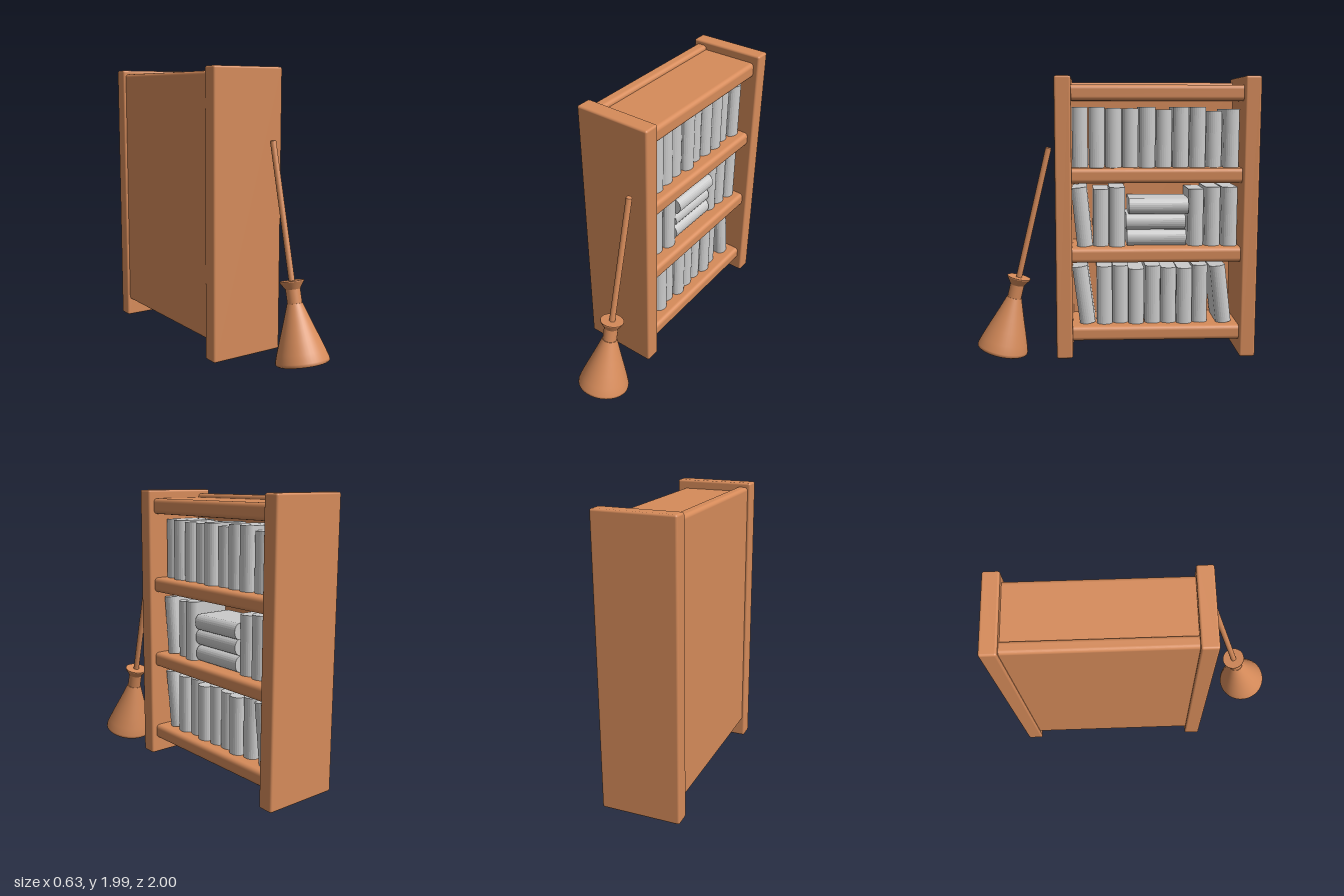
import * as THREE from 'three';
import { RoundedBoxGeometry } from 'three/addons/geometries/RoundedBoxGeometry.js';

const wood = new THREE.MeshStandardMaterial({ color: 0xd68b5a });
const grey = new THREE.MeshStandardMaterial({ color: 0xcccccc });

// Rounded wooden board given by its min and max corners
function board(name, min, max, radius) {
  const size = max.map((v, i) => v - min[i]);
  const mesh = new THREE.Mesh(new RoundedBoxGeometry(...size, 3, radius), wood);
  mesh.position.set(...max.map((v, i) => (v + min[i]) / 2));
  mesh.name = name;
  return mesh;
}

// Book block with a rounded spine facing +x, centred on y and z
const BOOK = { width: 0.112, height: 0.425, depth: 0.27, bulge: 0.035 };
function bookGeometry() {
  const w = BOOK.width / 2, s = new THREE.Shape();
  s.moveTo(-BOOK.depth, -w);
  s.lineTo(0, -w);
  s.bezierCurveTo(BOOK.bulge * 1.33, -w * 0.7, BOOK.bulge * 1.33, w * 0.7, 0, w);
  s.lineTo(-BOOK.depth, w);
  s.closePath();
  const geo = new THREE.ExtrudeGeometry(s, { depth: BOOK.height, bevelEnabled: false, curveSegments: 10 });
  geo.translate(0, 0, -BOOK.height / 2);
  geo.rotateX(-Math.PI / 2);
  return geo;
}

// Small repeatable offset so the spines are not perfectly aligned
const stagger = (i) => 0.09 + 0.015 * Math.sin(i * 2.4);

function createBooks() {
  const group = new THREE.Group();
  group.name = 'books';
  const geo = bookGeometry();
  let count = 0;
  const add = (name, y, z, tilt) => {
    const book = new THREE.Mesh(geo, grey);
    book.name = name;
    book.position.set(stagger(count++), y, z);
    book.rotation.x = tilt;
    group.add(book);
    return book;
  };
  // Each entry: centre z, top y, lean
  const rows = [
    [[0.23, 0.66, 0.13], [0.08, 0.655, 0], [-0.035, 0.655, 0], [-0.15, 0.635, 0], [-0.27, 0.655, 0],
      [-0.385, 0.64, 0], [-0.5, 0.64, 0], [-0.615, 0.655, 0], [-0.765, 0.66, 0.12]],
    [[0.24, 1.23, 0.1], [0.105, 1.21, 0], [-0.01, 1.225, 0], [-0.577, 1.21, 0], [-0.697, 1.225, 0], [-0.818, 1.225, 0]],
    [1.79, 1.79, 1.78, 1.78, 1.79, 1.77, 1.79, 1.79, 1.76, 1.775].map((top, i) => [0.252 - i * 0.119, top, 0]),
  ];
  for (const row of rows)
    for (const [z, top, lean] of row)
      add(lean ? 'leaningBook' : 'standingBook', top - BOOK.height / 2 - (lean ? 0.005 : 0), z, lean);
  // Stack of books lying flat
  for (const [y, z] of [[0.858, -0.295], [0.974, -0.288], [1.088, -0.307]]) add('flatBook', y, z, Math.PI / 2);
  return group;
}

function createBroom() {
  const broom = new THREE.Group();
  broom.name = 'broom';
  const lathe = (name, profile) => {
    const points = profile.map(([r, y]) => new THREE.Vector2(r, y));
    const mesh = new THREE.Mesh(new THREE.LatheGeometry(points, 40), wood);
    mesh.name = name;
    broom.add(mesh);
  };
  // Repeated points keep the rims crisp
  lathe('bristles', [[0, 0], [0.172, 0], [0.172, 0], [0.182, 0.008], [0.182, 0.025], [0.165, 0.08],
    [0.137, 0.16], [0.108, 0.24], [0.08, 0.32], [0.053, 0.4], [0.053, 0.4], [0, 0.4]]);
  lathe('binding', [[0.05, 0.39], [0.05, 0.5]]);
  lathe('collar', [[0.05, 0.495], [0.083, 0.545], [0.083, 0.545], [0.083, 0.552], [0.083, 0.552], [0, 0.552]]);
  lathe('handle', [[0.021, 0.5], [0.021, 1.495], [0.021, 1.495], [0.016, 1.502], [0, 1.502]]);
  broom.position.set(0.13, 0.05, 0.822);
  broom.rotation.x = -0.237;
  return broom;
}

export function createModel() {
  const model = new THREE.Group();
  model.name = 'bookcaseWithBroom';

  // Carcass: two side panels and a back panel
  model.add(board('leftSidePanel', [-0.315, 0.01, 0.31], [0.24, 2, 0.425], 0.015));
  model.add(board('rightSidePanel', [-0.315, 0.01, -0.998], [0.24, 2, -0.885], 0.015));
  model.add(board('backPanel', [-0.295, 0.14, -0.92], [-0.21, 1.97, 0.345], 0.025));

  // Shelves, including the top and bottom boards
  for (const [bottom, top] of [[0.125, 0.23], [0.695, 0.8], [1.26, 1.365], [1.83, 1.94]])
    model.add(board('shelf', [-0.24, bottom, -0.93], [0.2, top, 0.355], 0.03));

  model.add(createBooks(), createBroom());
  return model;
}
